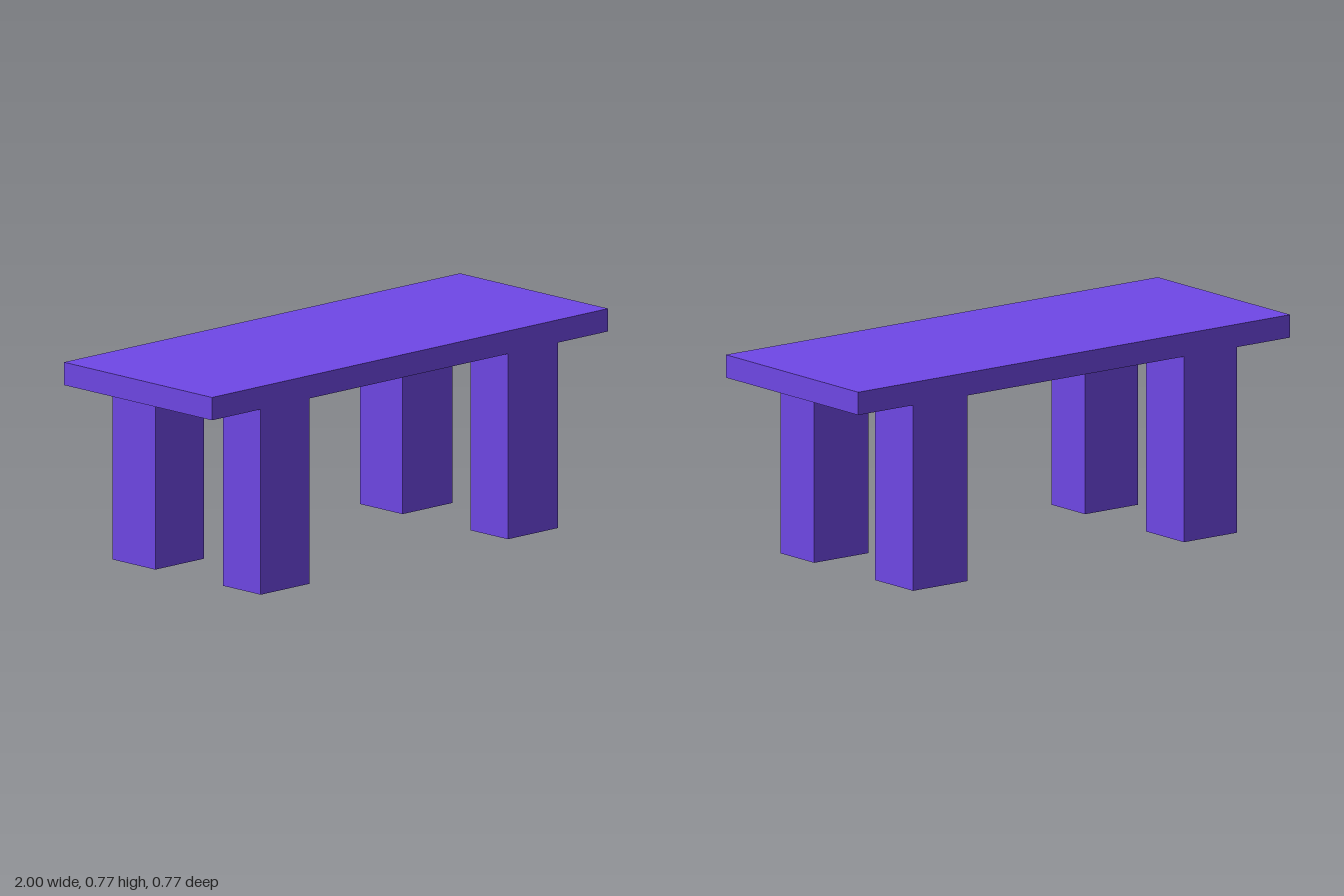
import * as THREE from 'three';

export function createModel() {
  const group = new THREE.Group();
  const violet = new THREE.MeshStandardMaterial({ color: 0x7048e8 });
  violet.name = 'violet';

  // Box given by its lower and upper limits on each axis
  const addBox = (name, [x0, x1], [y0, y1], [z0, z1]) => {
    const mesh = new THREE.Mesh(new THREE.BoxGeometry(x1 - x0, y1 - y0, z1 - z0), violet);
    mesh.position.set((x0 + x1) / 2, (y0 + y1) / 2, (z0 + z1) / 2);
    mesh.name = name;
    group.add(mesh);
  };

  const height = 0.775, underside = 0.69, halfDepth = 0.385;

  // Table top
  addBox('tableTop', [-1, 1], [underside, height], [-halfDepth, halfDepth]);

  // Four legs, flush with the long edges; the back pair is slightly deeper
  const sides = { Left: [0.494, 0.746], Right: [-0.754, -0.508] };
  const rows = { front: [0.19, halfDepth], back: [-halfDepth, -0.163] };
  for (const [row, z] of Object.entries(rows)) {
    for (const [side, x] of Object.entries(sides)) {
      addBox(`${row}${side}Leg`, x, [0, underside], z);
    }
  }
  return group;
}
